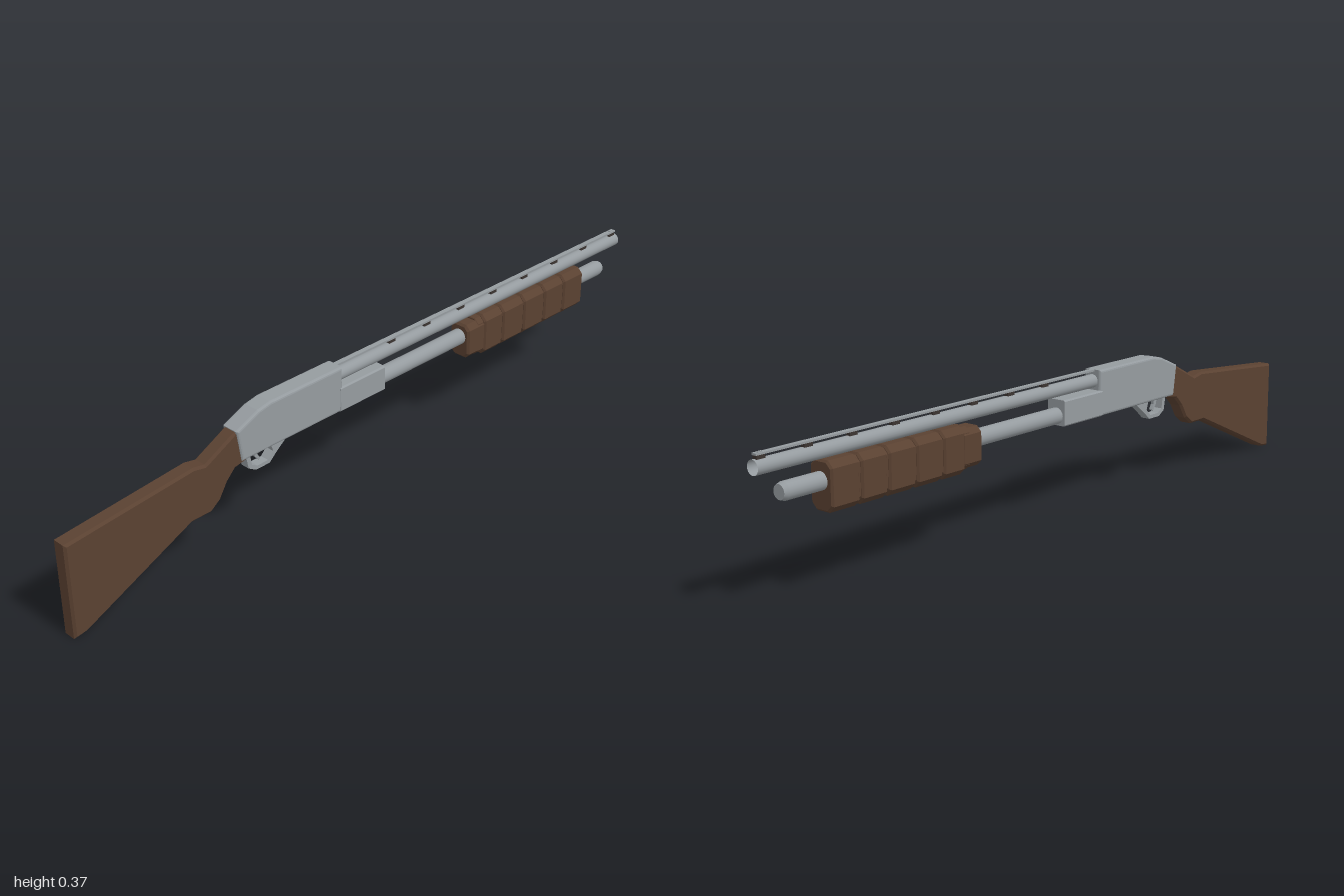
import * as THREE from 'three';

const material = (name, color) => {
  const m = new THREE.MeshStandardMaterial({ color });
  m.name = name;
  return m;
};

export function createModel() {
  const model = new THREE.Group();
  model.name = 'pumpShotgun';
  const metal = material('greyMetal', 0x959b9f);
  const wood = material('darkWood', 0x5a4131);
  const dark = material('darkMetal', 0x3c3431);
  metal.side = THREE.DoubleSide;

  const add = (name, geometry, mat) => {
    const mesh = new THREE.Mesh(geometry, mat);
    mesh.name = name;
    model.add(mesh);
    return mesh;
  };
  const shapeOf = (points) => new THREE.Shape(points.map(([x, y]) => new THREE.Vector2(x, y)));

  // Side outline in x/y, given a thickness in z with bevelled edges
  const profile = (shape, halfWidth, bevel, segments = 1) => {
    const g = new THREE.ExtrudeGeometry(shape, {
      depth: 2 * (halfWidth - bevel), bevelEnabled: bevel > 0, bevelSize: bevel,
      bevelThickness: bevel, bevelOffset: -bevel, bevelSegments: segments, curveSegments: 8,
    });
    return g.translate(0, 0, -(halfWidth - bevel));
  };

  // Chamfered block running along x
  const block = (x0, x1, y0, y1, w, c, bevel) => {
    const shape = shapeOf([
      [-w + c, y0], [w - c, y0], [w, y0 + c], [w, y1 - c],
      [w - c, y1], [-w + c, y1], [-w, y1 - c], [-w, y0 + c],
    ]);
    const g = new THREE.ExtrudeGeometry(shape, {
      depth: x1 - x0 - 2 * bevel, bevelEnabled: true, bevelSize: bevel,
      bevelThickness: bevel, bevelOffset: -bevel, bevelSegments: 1,
    });
    return g.rotateY(Math.PI / 2).translate(x0 + bevel, 0, 0);
  };

  // Round bar along x
  const bar = (x0, x1, y, r0, r1, open = false) =>
    new THREE.CylinderGeometry(r1, r0, x1 - x0, 20, 1, open)
      .rotateZ(-Math.PI / 2).translate((x0 + x1) / 2, y, 0);

  // Shoulder stock with pistol grip
  add('stock', profile(shapeOf([
    [-1, 0.004], [-0.965, 0.008], [-0.645, 0.15], [-0.585, 0.15], [-0.555, 0.172],
    [-0.53, 0.212], [-0.505, 0.237], [-0.46, 0.25], [-0.48, 0.255], [-0.495, 0.337],
    [-0.52, 0.325], [-0.595, 0.287], [-0.63, 0.294], [-1, 0.262],
  ]), 0.022, 0.006), wood);

  // Receiver and its lower front extension
  add('receiver', profile(shapeOf([
    [-0.487, 0.25], [-0.15, 0.25], [-0.15, 0.375], [-0.39, 0.375], [-0.43, 0.367], [-0.5, 0.337],
  ]), 0.027, 0.007, 3), metal);
  add('receiverExtension', block(-0.16, 0, 0.25, 0.32, 0.029, 0.004, 0.001), metal);

  // Trigger guard loop and trigger
  const guard = shapeOf([
    [-0.465, 0.252], [-0.458, 0.212], [-0.435, 0.198], [-0.39, 0.198],
    [-0.368, 0.218], [-0.325, 0.252],
  ]);
  guard.holes.push(new THREE.Path([
    [-0.452, 0.25], [-0.385, 0.25], [-0.377, 0.226], [-0.395, 0.208], [-0.43, 0.208], [-0.447, 0.218],
  ].map(([x, y]) => new THREE.Vector2(x, y))));
  add('triggerGuard', profile(guard, 0.013, 0), metal);
  add('trigger', profile(shapeOf([
    [-0.436, 0.254], [-0.43, 0.23], [-0.418, 0.216], [-0.413, 0.219], [-0.421, 0.233], [-0.42, 0.254],
  ]), 0.005, 0), metal);

  // Open barrel and magazine tube
  add('barrel', bar(-0.16, 1, 0.344, 0.018, 0.018, true), metal);
  add('magazineTube', bar(-0.01, 0.92, 0.276, 0.022, 0.022), metal);
  add('magazineCap', bar(0.92, 0.932, 0.276, 0.022, 0.018), metal);

  // Sighting rib standing on small posts
  add('rib', new THREE.BoxGeometry(1.145, 0.005, 0.014).translate(0.4225, 0.3725, 0), metal);
  for (let i = 0; i < 8; i++) {
    add('ribPost', new THREE.BoxGeometry(0.024, 0.011, 0.012)
      .translate(0.05 + i * 0.133, 0.3655, 0), dark);
  }
  add('frontSight', new THREE.BoxGeometry(0.012, 0.003, 0.006).translate(0.98, 0.3755, 0), metal);

  // Sliding fore-end: core, rear collar and five grip segments
  add('foreEndCore', block(0.36, 0.8, 0.211, 0.319, 0.03, 0.014, 0.002), wood);
  add('foreEndCollar', block(0.318, 0.388, 0.215, 0.314, 0.033, 0.014, 0.006), wood);
  const cuts = [0.38, 0.458, 0.548, 0.638, 0.724, 0.815];
  for (let i = 0; i < 5; i++) {
    add('foreEndSegment', block(cuts[i] + 0.003, cuts[i + 1] - 0.003, 0.204, 0.324, 0.036, 0.016, 0.005), wood);
  }

  return model;
}
